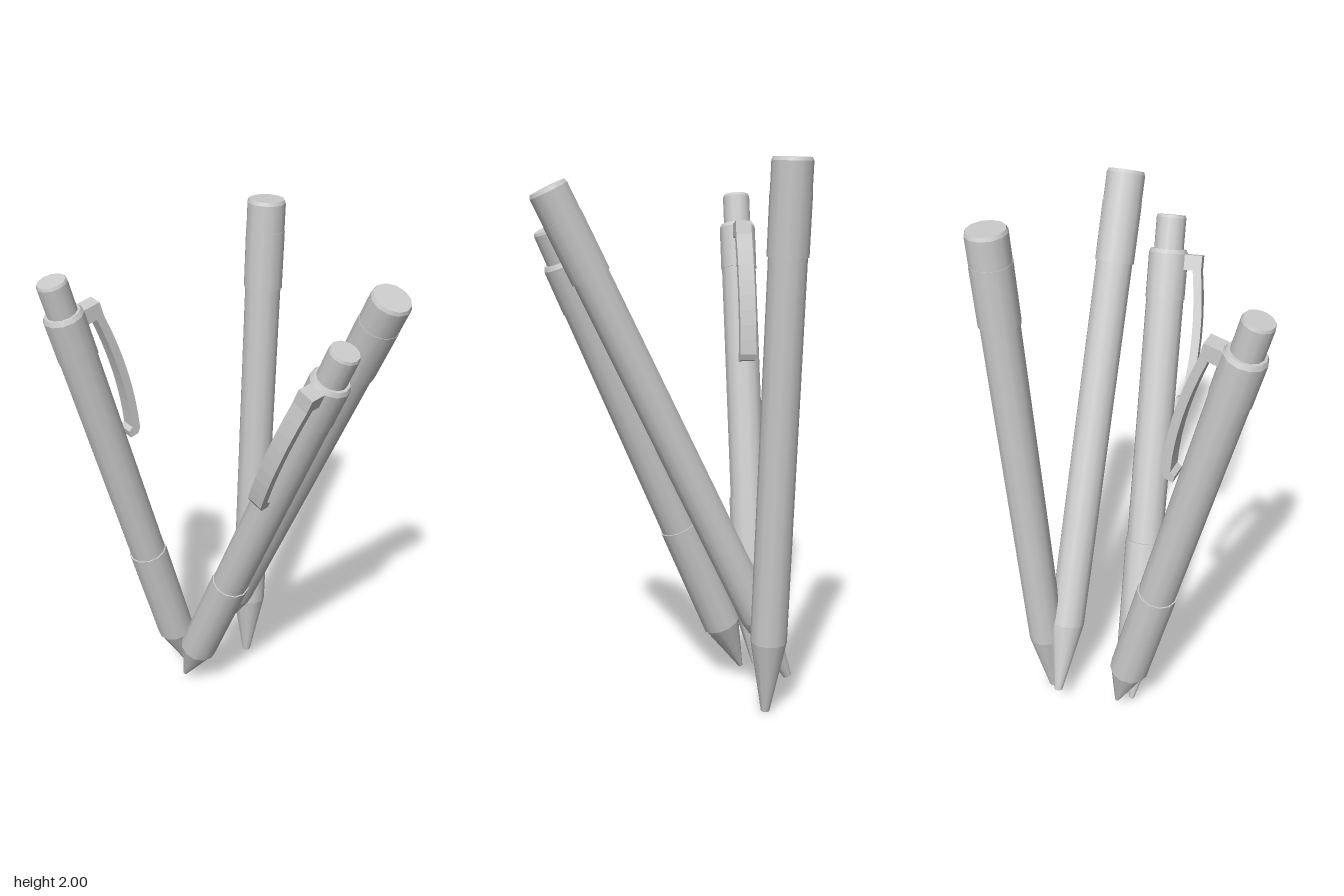
import * as THREE from 'three';

const material = new THREE.MeshStandardMaterial({ color: 0xcccccc });
const SIDES = 12;

// A straight or tapered section of barrel between two heights along the axis
function section(group, name, y0, y1, r0, r1 = r0) {
  const geometry = new THREE.CylinderGeometry(r1, r0, y1 - y0, SIDES);
  geometry.translate(0, (y0 + y1) / 2, 0);
  const mesh = new THREE.Mesh(geometry, material);
  mesh.name = name;
  group.add(mesh);
}

// Bowed clip with a square tab at the top and a small hook at the bottom, on local +x
function makeClip() {
  const s = new THREE.Shape();
  s.moveTo(0.05, 1.745);
  s.lineTo(0.127, 1.745);
  s.lineTo(0.127, 1.69);
  s.quadraticCurveTo(0.165, 1.44, 0.122, 1.215);
  s.lineTo(0.108, 1.195);
  s.lineTo(0.075, 1.195);
  s.lineTo(0.075, 1.222);
  s.lineTo(0.094, 1.23);
  s.quadraticCurveTo(0.133, 1.44, 0.097, 1.69);
  s.lineTo(0.05, 1.69);
  s.closePath();
  const width = 0.062;
  const geometry = new THREE.ExtrudeGeometry(s, { depth: width, bevelEnabled: false, curveSegments: 8 });
  geometry.translate(0, 0, -width / 2);
  const mesh = new THREE.Mesh(geometry, material);
  mesh.name = 'clip';
  return mesh;
}

function makePen() {
  const g = new THREE.Group();
  section(g, 'penTip', 0, 0.21, 0.008, 0.07);
  section(g, 'grip', 0.21, 0.66, 0.074);
  section(g, 'barrel', 0.66, 1.58, 0.069);
  section(g, 'collar', 1.58, 1.745, 0.072);
  section(g, 'collarEdge', 1.745, 1.76, 0.072, 0.064);
  section(g, 'button', 1.76, 1.87, 0.054);
  section(g, 'buttonEdge', 1.87, 1.88, 0.054, 0.05);
  g.add(makeClip());
  return g;
}

function makePencil() {
  const g = new THREE.Group();
  section(g, 'pencilPoint', 0, 0.28, 0.016, 0.067);
  section(g, 'shaft', 0.28, 1.67, 0.067);
  section(g, 'ferrule', 1.67, 1.885, 0.072);
  section(g, 'eraser', 1.885, 1.985, 0.0705);
  section(g, 'eraserEdge', 1.985, 1.997, 0.0705, 0.065);
  return g;
}

// Stand an item on its tip, leaning toward top, with its local +x turned toward side
function place(item, name, tip, top, side) {
  const origin = new THREE.Vector3(...tip);
  const y = new THREE.Vector3(...top).sub(origin).normalize();
  const z = new THREE.Vector3(...side).cross(y).normalize();
  const x = new THREE.Vector3().crossVectors(y, z);
  item.quaternion.setFromRotationMatrix(new THREE.Matrix4().makeBasis(x, y, z));
  item.position.copy(origin);
  item.name = name;
  return item;
}

export function createModel() {
  const model = new THREE.Group();
  model.name = 'pensAndPencils';
  model.add(
    place(makePen(), 'backPen', [0.02, 0.06, -0.365], [-0.44, 1.88, -0.473], [0.97, 0, 0.23]),
    place(makePen(), 'frontPen', [-0.032, 0.04, -0.33], [-0.032, 1.757, 0.43], [-1, 0, 0]),
    place(makePencil(), 'leaningPencil', [0.25, 0.1, -0.392], [0.143, 1.887, 0.472], [1, 0, 0]),
    place(makePencil(), 'uprightPencil', [0.302, 0, -0.276], [0.424, 1.995, -0.281], [1, 0, 0]),
  );
  return model;
}
